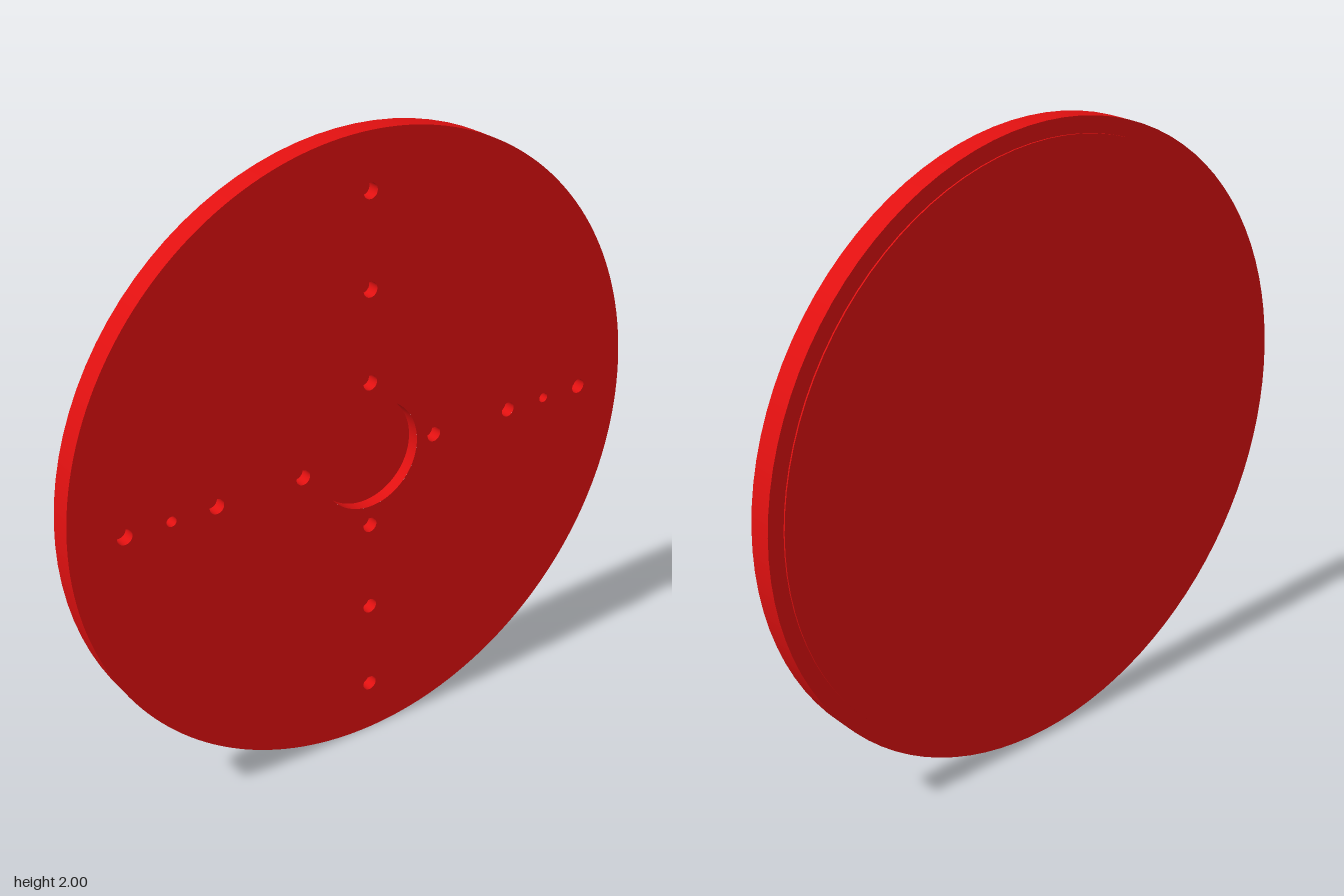
import * as THREE from 'three';

const SEG = 96;
const FRONT = 0.04, BACK = -0.035, RAISED = -0.04; // z levels
const FLOOR = 0;                                   // bottom of the front recesses
const RADIUS = 1, STEP_RADIUS = 0.95;

export function createModel() {
  const group = new THREE.Group();
  const red = new THREE.MeshStandardMaterial({ color: 0xe01010 });
  const inside = new THREE.MeshStandardMaterial({ color: 0xe01010, side: THREE.BackSide });

  const add = (name, geometry, x, y, z, material = red) => {
    const mesh = new THREE.Mesh(geometry, material);
    mesh.name = name;
    mesh.position.set(x, y + RADIUS, z);
    group.add(mesh);
    return mesh;
  };

  // Open tube along z, used for the rim, the step and the recess walls
  const tube = (radius, z0, z1) =>
    new THREE.CylinderGeometry(radius, radius, z1 - z0, SEG, 1, true).rotateX(Math.PI / 2);

  // Recesses: central socket, then a cross of pin holes
  const recesses = [{ name: 'centreRecess', x: 0, y: 0, r: 0.175 }];
  for (const d of [0.24, 0.533, 0.827]) {
    for (const [sx, sy] of [[1, 0], [-1, 0], [0, 1], [0, -1]]) {
      recesses.push({ name: 'pinHole', x: sx * d, y: sy * d, r: 0.024 });
    }
  }
  for (const s of [1, -1]) recesses.push({ name: 'smallPinHole', x: s * 0.68, y: 0, r: 0.016 });

  // Front face with openings
  const face = new THREE.Shape().absarc(0, 0, RADIUS, 0, Math.PI * 2);
  for (const { name, x, y, r } of recesses) {
    face.holes.push(new THREE.Path().absarc(x, y, r, 0, Math.PI * 2, true));
    add(name + 'Wall', tube(r, FLOOR, FRONT), x, y, (FLOOR + FRONT) / 2, inside);
    add(name + 'Floor', new THREE.CircleGeometry(r, SEG), x, y, FLOOR);
  }
  add('frontFace', new THREE.ShapeGeometry(face, SEG), 0, 0, FRONT);

  // Outer rim and the stepped back
  add('rim', tube(RADIUS, BACK, FRONT), 0, 0, (BACK + FRONT) / 2);
  add('backLedge', new THREE.RingGeometry(STEP_RADIUS, RADIUS, SEG).rotateY(Math.PI), 0, 0, BACK);
  add('backStep', tube(STEP_RADIUS, RAISED, BACK), 0, 0, (RAISED + BACK) / 2);
  add('backFace', new THREE.CircleGeometry(STEP_RADIUS, SEG).rotateY(Math.PI), 0, 0, RAISED);

  return group;
}
